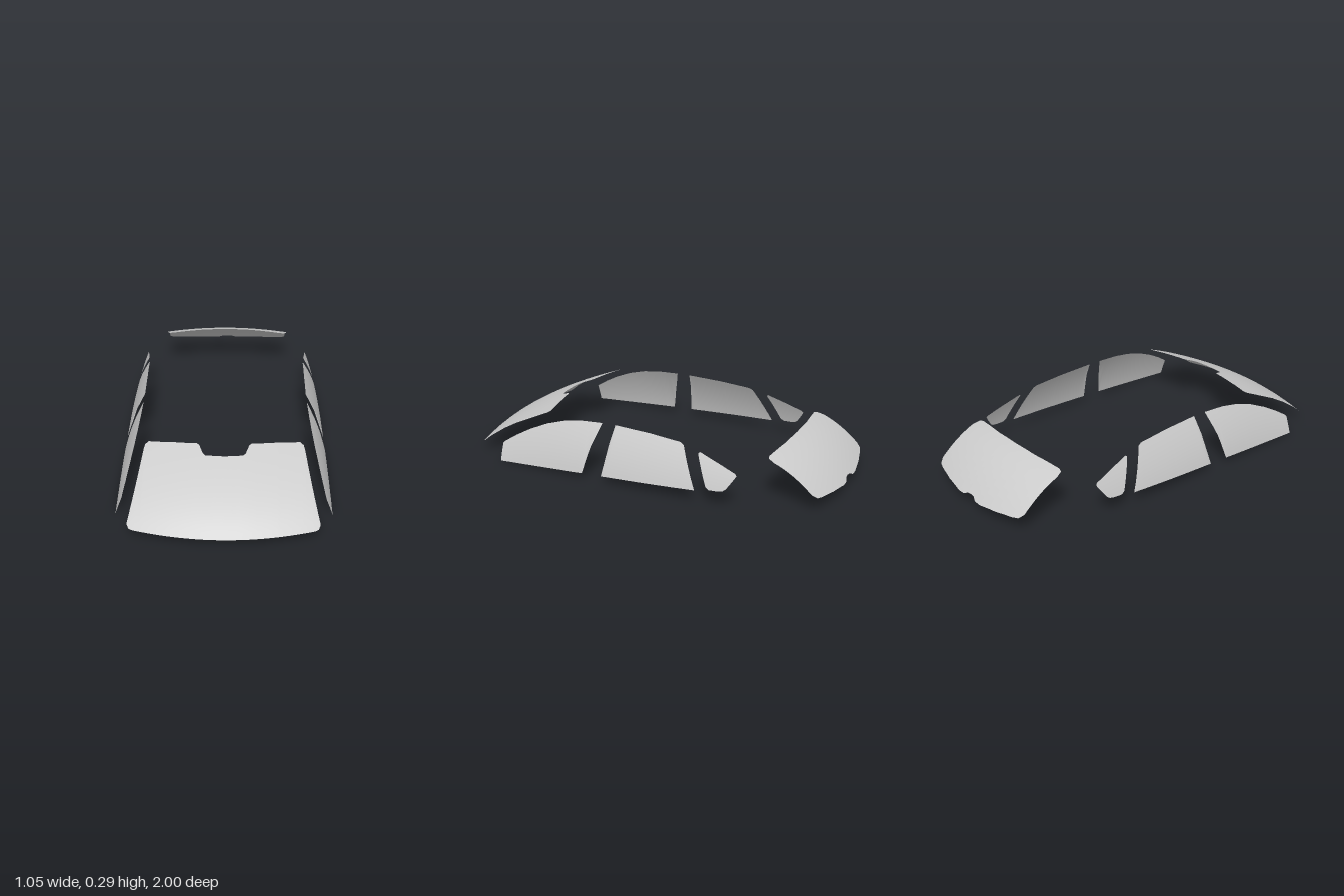
import * as THREE from 'three';
import { mergeVertices } from 'three/addons/utils/BufferGeometryUtils.js';

const ROWS = 10;
const material = new THREE.MeshStandardMaterial({ color: 0xcccccc, side: THREE.DoubleSide });

// height of a polyline [[u, v], ...] at u
function sample(line, u) {
  for (let i = 1; i < line.length; i++) {
    const [u0, v0] = line[i - 1], [u1, v1] = line[i];
    if (u <= u1) return v0 + (v1 - v0) * (u - u0) / (u1 - u0);
  }
  return line[line.length - 1][1];
}

// mirrored copy of a half outline given from u = 0 outwards
const symmetric = half => [
  ...half.filter(p => p[0] > 0).reverse().map(([u, v]) => [-u, v]), ...half];

// curved sheet between a lower and an upper outline, bent by place(u, v)
function pane(name, lower, upper, place, flip = false) {
  const start = lower[0][0], end = lower[lower.length - 1][0];
  const columns = [...lower, ...upper].map(p => p[0]);
  for (let i = 1; i < 24; i++) columns.push(start + (end - start) * i / 24);
  columns.sort((a, b) => a - b);
  const us = columns.filter((u, i) => i === 0 || u - columns[i - 1] > 1e-6);

  const position = [], index = [];
  us.forEach((u, i) => {
    const low = sample(lower, u), high = sample(upper, u);
    for (let j = 0; j <= ROWS; j++) {
      position.push(...place(u, low + (high - low) * j / ROWS));
      if (i === 0 || j === 0) continue;
      const d = i * (ROWS + 1) + j, c = d - 1, b = d - ROWS - 1, a = b - 1;
      if (flip) index.push(a, d, c, a, b, d);
      else index.push(a, c, d, a, d, b);
    }
  });
  let geometry = new THREE.BufferGeometry();
  geometry.setAttribute('position', new THREE.Float32BufferAttribute(position, 3));
  geometry.setIndex(index);
  geometry = mergeVertices(geometry, 1e-5);
  geometry.computeVertexNormals();
  const mesh = new THREE.Mesh(geometry, material);
  mesh.name = name;
  return mesh;
}

// outward distance of the side glass: leans in with height, tapers to both ends
function sideX(z, y) {
  let x = 0.529 - 0.177 * y - 0.7 * y * y;
  if (z > 0.25) x -= (0.006 + 0.11 * y) * ((z - 0.25) / 0.5) ** 2;
  if (z < 0) x -= 0.06 * z * z;
  return x;
}

// side windows, outlined in (z, y)
const sideWindows = {
  FrontWindow: {
    lower: [[0.175, 0.287], [0.215, 0.165], [0.245, 0.034], [0.755, 0]],
    upper: [[0.175, 0.287], [0.3, 0.279], [0.4, 0.262], [0.5, 0.232], [0.6, 0.188],
      [0.68, 0.144], [0.748, 0.1], [0.755, 0.092]],
  },
  RearWindow: {
    lower: [[-0.382, 0.07], [0.133, 0.04]],
    upper: [[-0.382, 0.07], [-0.288, 0.262], [-0.27, 0.272], [-0.1, 0.284],
      [0.1, 0.289], [0.133, 0.04]],
  },
  QuarterWindow: {
    lower: [[-0.582, 0.168], [-0.57, 0.148], [-0.54, 0.102], [-0.525, 0.091], [-0.5, 0.086],
      [-0.455, 0.084], [-0.437, 0.095], [-0.37, 0.238]],
    upper: [[-0.582, 0.168], [-0.575, 0.178], [-0.5, 0.205], [-0.38, 0.245], [-0.37, 0.238]],
  },
};

export function createModel() {
  const model = new THREE.Group();
  model.name = 'carWindows';

  // windscreen with a mirror notch, outlined in (x, y)
  const screenLower = symmetric([[0, 0.045], [0.425, 0.046], [0.442, 0.049], [0.45, 0.06]]);
  const screenUpper = symmetric([[0, 0.259], [0.092, 0.26], [0.103, 0.264], [0.12, 0.28],
    [0.132, 0.284], [0.25, 0.28], [0.368, 0.272], [0.385, 0.264], [0.39, 0.255], [0.45, 0.068]]);
  model.add(pane('windscreen', screenLower, screenUpper, (x, y) => {
    const h = y - 0.045;
    return [x, y, 1 - 0.9 * h - 3.8 * h * h - (0.37 + 0.8 * h) * x * x];
  }));

  // rear window, outlined in (x, distance back)
  const rearTop = symmetric([[0, 0.715], [0.15, 0.71], [0.318, 0.69], [0.34, 0.696], [0.353, 0.73]]);
  const rearBottom = symmetric([[0, 0.988], [0.025, 0.99], [0.05, 1], [0.09, 1], [0.2, 0.983],
    [0.3, 0.96], [0.335, 0.948], [0.353, 0.925]]);
  model.add(pane('rearWindow', rearTop, rearBottom, (x, back) => {
    const t = back - 0.715;
    return [x, 0.255 - 0.274 * t - 1.45 * t * t - (0.2 + 0.33 * t) * x * x, -back];
  }));

  // door and quarter windows on both sides
  for (const [side, sign] of [['left', 1], ['right', -1]]) {
    for (const [part, { lower, upper }] of Object.entries(sideWindows)) {
      model.add(pane(side + part, lower, upper,
        (z, y) => [sign * sideX(z, y), y, z], sign < 0 ? false : true));
    }
  }
  return model;
}
